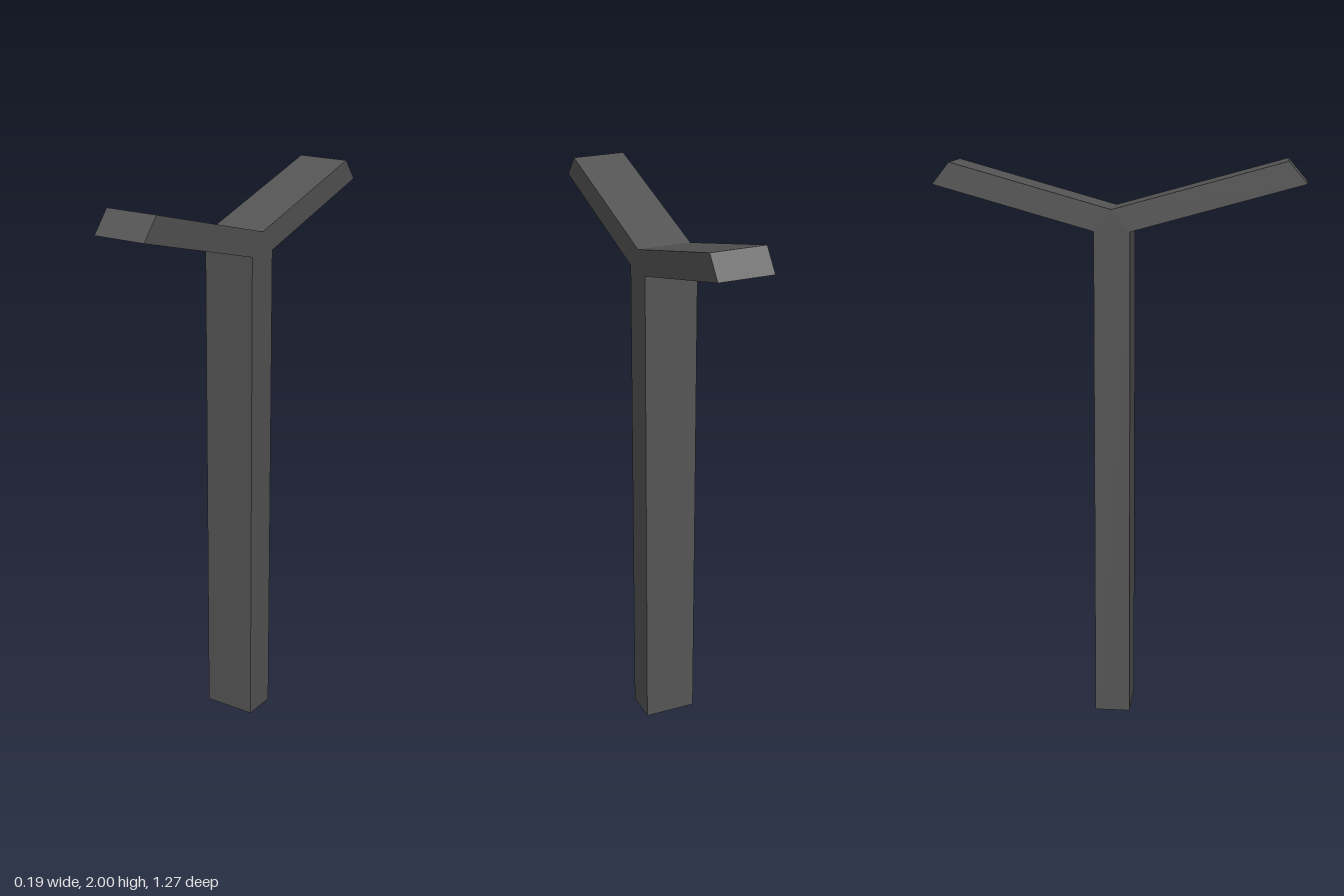
import * as THREE from 'three';

const HALF = 0.095;   // half width of post and arms
const SLOT = 0.05;    // half width of the lamp recess
const DEPTH = 0.028;  // depth of the lamp recess

// Collects flat convex polygons; profile points are [z, y], counter-clockwise seen from -x.
function makeShell() {
  const positions = [];
  const polygon = (corners) => {
    for (let i = 1; i < corners.length - 1; i++) positions.push(...corners[0], ...corners[i], ...corners[i + 1]);
  };
  const at = (x, [z, y]) => [x, y, z];
  return {
    // Strip across the width, swept from profile point a to b
    strip: (a, b, x0 = -HALF, x1 = HALF) => polygon([at(x0, a), at(x1, a), at(x1, b), at(x0, b)]),
    // Pair of matching faces at -x and +x, facing away from each other
    sides: (profile, x) => {
      polygon(profile.map((p) => at(-x, p)));
      polygon(profile.map((p) => at(x, p)).reverse());
    },
    build: (name, material) => {
      const geometry = new THREE.BufferGeometry();
      geometry.setAttribute('position', new THREE.Float32BufferAttribute(positions, 3));
      geometry.computeVertexNormals();
      const mesh = new THREE.Mesh(geometry, material);
      mesh.name = name;
      return mesh;
    },
  };
}

const along = (a, b, t) => [a[0] + (b[0] - a[0]) * t, a[1] + (b[1] - a[1]) * t];

// Arm with a recessed lamp slot in its underside, the edge from a to b
function makeArm(name, profile, underside, t0, t1, materials) {
  const arm = new THREE.Group();
  arm.name = name;
  const shell = makeShell();
  shell.sides(profile, HALF);
  const [a, b] = underside;
  const length = Math.hypot(b[0] - a[0], b[1] - a[1]);
  const inward = [-(b[1] - a[1]) / length * DEPTH, (b[0] - a[0]) / length * DEPTH];
  const push = (p) => [p[0] + inward[0], p[1] + inward[1]];
  const p = along(a, b, t0), q = along(a, b, t1);
  const pIn = push(p), qIn = push(q);

  // Top and tip faces
  profile.forEach((from, i) => {
    const to = profile[(i + 1) % profile.length];
    const joinsPost = to === profile.valley || from === profile.valley;
    const isTop = to === profile.tipTop || from === profile.tipTop;
    if (from !== a && (!joinsPost || isTop)) shell.strip(from, to);
  });
  // Frame around the recess
  shell.strip(a, p);
  shell.strip(q, b);
  shell.strip(p, q, -HALF, -SLOT);
  shell.strip(p, q, SLOT, HALF);
  // Recess walls, facing inward
  shell.strip(p, pIn, -SLOT, SLOT);
  shell.strip(qIn, q, -SLOT, SLOT);
  shell.sides([p, pIn, qIn, q], SLOT);
  arm.add(shell.build(name + 'Housing', materials));

  // Lamp panel at the bottom of the recess
  const panel = makeShell();
  panel.strip(pIn, qIn, -SLOT, SLOT);
  arm.add(panel.build(name + 'LampPanel', materials));
  return arm;
}

export function createModel() {
  const metal = new THREE.MeshStandardMaterial({ color: 0x555555 });
  metal.name = 'dark grey metal';

  const valley = [-0.02, 1.835];
  const frontJoin = [0.045, 1.76], backJoin = [-0.08, 1.76];
  const frontTip = [0.64, 1.925], frontTop = [0.575, 2.0];
  const backTip = [-0.635, 1.915], backTop = [-0.575, 1.99];
  const backFoot = [-0.08, 0], frontFoot = [0.045, 0];

  const model = new THREE.Group();
  model.name = 'streetLamp';

  // Post with a pointed head between the arms
  const post = makeShell();
  post.sides([backFoot, frontFoot, frontJoin, valley, backJoin], HALF);
  post.strip(backFoot, frontFoot);
  post.strip(frontFoot, frontJoin);
  post.strip(backJoin, backFoot);
  model.add(post.build('post', metal));

  // Two raised arms
  const front = Object.assign([valley, frontJoin, frontTip, frontTop], { valley, tipTop: frontTop });
  const back = Object.assign([valley, backTop, backTip, backJoin], { valley, tipTop: backTop });
  model.add(makeArm('frontArm', front, [frontJoin, frontTip], 0.15, 0.91, metal));
  model.add(makeArm('backArm', back, [backTip, backJoin], 0.09, 0.85, metal));
  return model;
}
